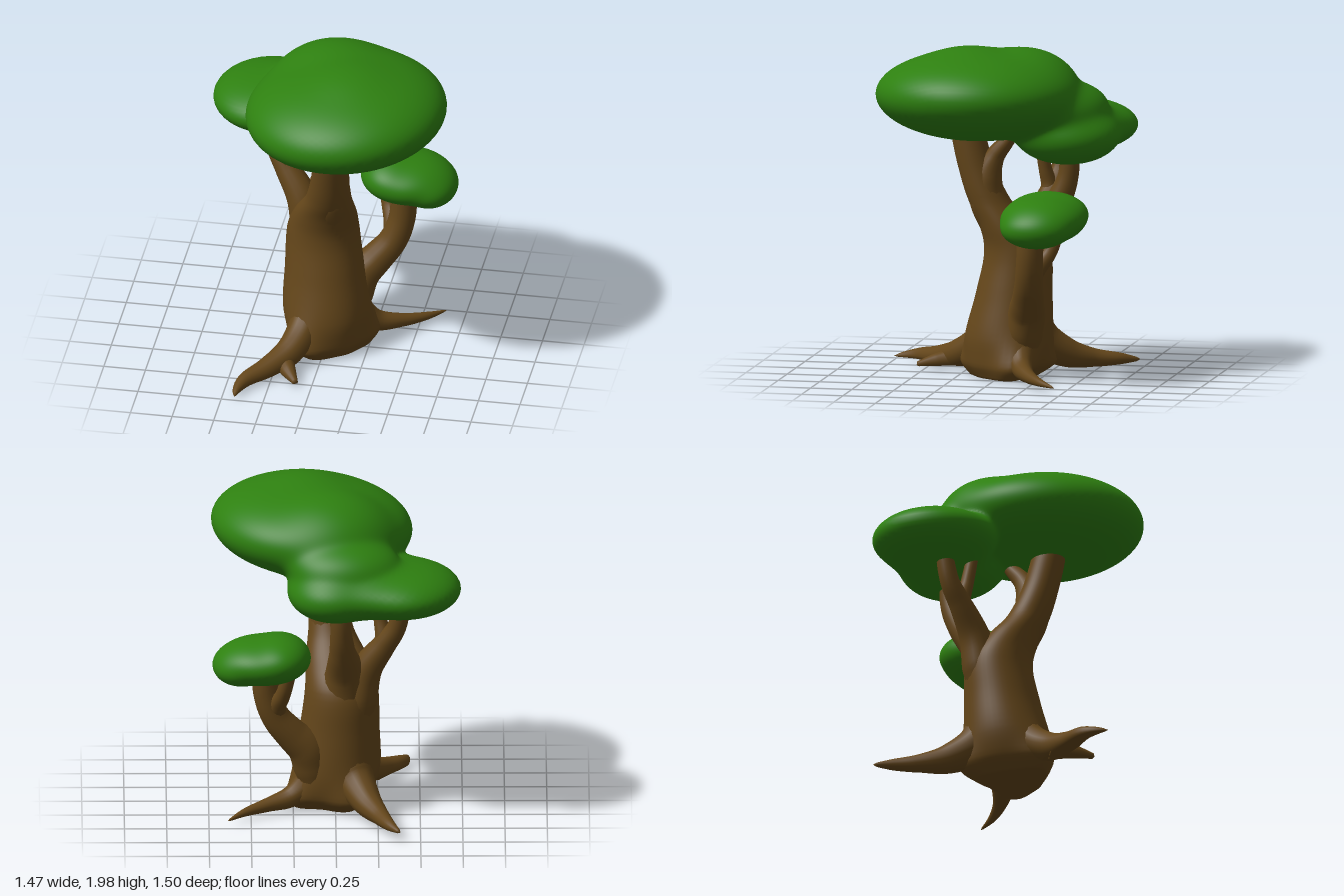
import * as THREE from 'three';
import { mergeVertices } from 'three/addons/utils/BufferGeometryUtils.js';

const bark = new THREE.MeshStandardMaterial({ color: 0x64461a });
const leaf = new THREE.MeshStandardMaterial({ color: 0x2e8010 });
const V = (x, y, z) => new THREE.Vector3(x, y, z);

// Weld the vertices and give them smooth normals
function smooth(geometry) {
  geometry.deleteAttribute('uv');
  geometry.deleteAttribute('normal');
  const welded = mergeVertices(geometry, 1e-5);
  welded.computeVertexNormals();
  return welded;
}

function part(name, geometry, material) {
  const mesh = new THREE.Mesh(smooth(geometry), material);
  mesh.name = name;
  return mesh;
}

// Tapered tube through stations [x, y, z, radius], kept above the ground
function limb(name, stations) {
  const curve = new THREE.CatmullRomCurve3(stations.map(s => V(s[0], s[1], s[2])));
  const rings = 36, sides = 16;
  const g = new THREE.TubeGeometry(curve, rings, 1, sides);
  const pos = g.attributes.position, v = V();
  for (let i = 0; i <= rings; i++) {
    const t = curve.getUtoTmapping(i / rings) * (stations.length - 1);
    const k = Math.min(Math.floor(t), stations.length - 2);
    const closed = i === 0 || i === rings;
    const r = closed ? 0 : THREE.MathUtils.lerp(stations[k][3], stations[k + 1][3], t - k);
    const c = curve.getPointAt(i / rings);
    for (let j = 0; j <= sides; j++) {
      const n = i * (sides + 1) + j;
      v.fromBufferAttribute(pos, n).sub(c).multiplyScalar(r).add(c);
      pos.setXYZ(n, v.x, Math.max(v.y, 0.02), v.z);
    }
  }
  return part(name, g, bark);
}

// Trunk: a cylinder moved onto stations [y, centre x, centre z, radius x, radius z],
// its foot spreading towards the root directions (x, z)
function trunk(stations, spreads) {
  const centre = new THREE.CatmullRomCurve3(stations.map(s => V(s[1], s[0], s[2])));
  const radius = new THREE.CatmullRomCurve3(stations.map(s => V(s[3], 0, s[4])));
  const g = new THREE.CylinderGeometry(1, 1, 1, 48, 44);
  const pos = g.attributes.position;
  for (let i = 0; i < pos.count; i++) {
    const x = pos.getX(i), z = pos.getZ(i);
    const t = THREE.MathUtils.clamp(pos.getY(i) + 0.5, 0, 1);
    const c = centre.getPoint(t), r = radius.getPoint(t);
    const flare = spreads.reduce((sum, [dx, dz]) =>
      sum + Math.exp(8 * ((x * dx + z * dz) / Math.hypot(dx, dz) - 1)), 0);
    const k = 1 + 0.5 * flare * Math.exp(-((c.y / 0.17) ** 2));
    pos.setXYZ(i, c.x + x * r.x * k, c.y, c.z + z * r.z * k);
  }
  return part('trunk', g, bark);
}

// Foliage: a sphere pushed out to the blended skin of ellipsoids [x, y, z, rx, ry, rz, tilt]
function foliage(name, origin, lobes, detail) {
  const field = p => lobes.reduce((sum, [x, y, z, rx, ry, rz, tilt = 0]) => {
    const dx = p.x - x, dy = p.y - y - dx * tilt, dz = p.z - z;
    return sum + Math.exp(5 - 5 * ((dx / rx) ** 2 + (dy / ry) ** 2 + (dz / rz) ** 2));
  }, 0);
  const g = new THREE.IcosahedronGeometry(1, detail);
  const pos = g.attributes.position, dir = V(), p = V();
  const inside = t => field(p.copy(origin).addScaledVector(dir, t)) > 1;
  for (let i = 0; i < pos.count; i++) {
    dir.fromBufferAttribute(pos, i).normalize();
    let out = 1.2;
    while (out > 0.03 && !inside(out)) out -= 0.02;
    let lo = out, hi = out + 0.02;
    for (let k = 0; k < 12; k++) {
      const mid = (lo + hi) / 2;
      if (inside(mid)) lo = mid; else hi = mid;
    }
    p.copy(origin).addScaledVector(dir, lo);
    pos.setXYZ(i, p.x, p.y, p.z);
  }
  return part(name, g, leaf);
}

export function createModel() {
  const tree = new THREE.Group();
  tree.name = 'tree';

  // Trunk, narrowing into the main bough
  tree.add(trunk([
    [0.0, 0.03, 0.0, 0.16, 0.15],
    [0.08, 0.01, -0.02, 0.225, 0.225],
    [0.25, -0.01, -0.035, 0.255, 0.255],
    [0.5, -0.025, -0.065, 0.235, 0.225],
    [0.75, -0.035, -0.08, 0.215, 0.195],
    [0.9, -0.01, -0.015, 0.185, 0.155],
    [1.05, 0.025, 0.075, 0.135, 0.125],
    [1.25, 0.045, 0.15, 0.108, 0.108],
    [1.5, 0.055, 0.21, 0.095, 0.1],
  ], [[-0.22, 0.45], [0.4, -0.2], [-0.24, -0.47]]));

  // Boughs
  const boughs = {
    rightBough: [[-0.1, 0.45, -0.12, 0.09], [-0.14, 0.7, -0.16, 0.11], [-0.18, 0.88, -0.18, 0.095],
      [-0.29, 1.06, -0.23, 0.07], [-0.36, 1.18, -0.27, 0.058], [-0.4, 1.4, -0.3, 0.05]],
    rightBoughFork: [[-0.24, 0.96, -0.2, 0.04], [-0.28, 1.09, -0.22, 0.05], [-0.265, 1.2, -0.2, 0.04],
      [-0.24, 1.4, -0.17, 0.035]],
    backBough: [[-0.05, 0.4, -0.1, 0.13], [-0.05, 0.65, -0.12, 0.155], [-0.055, 0.86, -0.19, 0.12],
      [-0.04, 1.05, -0.33, 0.077], [-0.03, 1.2, -0.39, 0.062], [-0.02, 1.4, -0.4, 0.058]],
    innerBough: [[0.02, 0.85, 0.0, 0.1], [0.045, 1.05, 0.08, 0.11], [0.06, 1.2, 0.08, 0.09],
      [0.07, 1.32, 0.03, 0.058], [0.08, 1.42, -0.05, 0.042], [0.085, 1.5, -0.1, 0.04]],
    leftBough: [[0.08, 0.1, -0.13, 0.1], [0.13, 0.27, -0.15, 0.12], [0.17, 0.39, -0.18, 0.115],
      [0.26, 0.49, -0.21, 0.097], [0.355, 0.61, -0.235, 0.085], [0.405, 0.75, -0.25, 0.08], [0.42, 0.95, -0.26, 0.08]],
    leftBoughFork: [[0.34, 0.58, -0.23, 0.05], [0.345, 0.69, -0.28, 0.055], [0.31, 0.79, -0.35, 0.045],
      [0.27, 0.95, -0.4, 0.04]],
  };

  // Roots
  const roots = {
    frontRoot: [[-0.06, 0.45, 0.0, 0.1], [-0.1, 0.21, 0.13, 0.1], [-0.17, 0.1, 0.29, 0.085], [-0.28, 0.055, 0.44, 0.065],
      [-0.39, 0.04, 0.58, 0.045], [-0.42, 0.03, 0.68, 0.025], [-0.42, 0.025, 0.75, 0.004]],
    frontRootToe: [[-0.22, 0.06, 0.3, 0.07], [-0.15, 0.045, 0.44, 0.045], [-0.09, 0.03, 0.54, 0.015]],
    leftRoot: [[0.06, 0.42, -0.1, 0.1], [0.14, 0.2, -0.13, 0.1], [0.26, 0.09, -0.17, 0.065], [0.4, 0.06, -0.24, 0.042],
      [0.54, 0.045, -0.34, 0.024], [0.64, 0.03, -0.45, 0.004]],
    backRoot: [[-0.06, 0.45, -0.14, 0.12], [-0.1, 0.24, -0.18, 0.125], [-0.18, 0.12, -0.34, 0.09], [-0.26, 0.08, -0.5, 0.055],
      [-0.32, 0.07, -0.65, 0.034], [-0.38, 0.06, -0.75, 0.008]],
  };
  for (const [name, stations] of Object.entries({ ...boughs, ...roots })) tree.add(limb(name, stations));

  // Large crown with its lower lobes behind, and the small crown
  tree.add(foliage('mainCrown', V(-0.05, 1.57, -0.12), [
    [0.14, 1.69, 0.13, 0.595, 0.27, 0.595, 0.06],
    [0.18, 1.78, 0.16, 0.3, 0.195, 0.3],
    [0.04, 1.71, -0.13, 0.36, 0.25, 0.32],
    [-0.06, 1.59, -0.38, 0.32, 0.16, 0.24],
    [-0.4, 1.455, -0.36, 0.34, 0.155, 0.365],
    [-0.2, 1.46, -0.42, 0.3, 0.15, 0.27],
    [0.0, 1.45, -0.39, 0.285, 0.175, 0.31],
  ], 30));
  tree.add(foliage('smallCrown', V(0.44, 1.0, -0.33), [
    [0.43, 1.0, -0.335, 0.27, 0.14, 0.25],
    [0.33, 1.03, -0.35, 0.17, 0.125, 0.23],
    [0.57, 0.96, -0.32, 0.155, 0.11, 0.2],
  ], 16));

  return tree;
}
